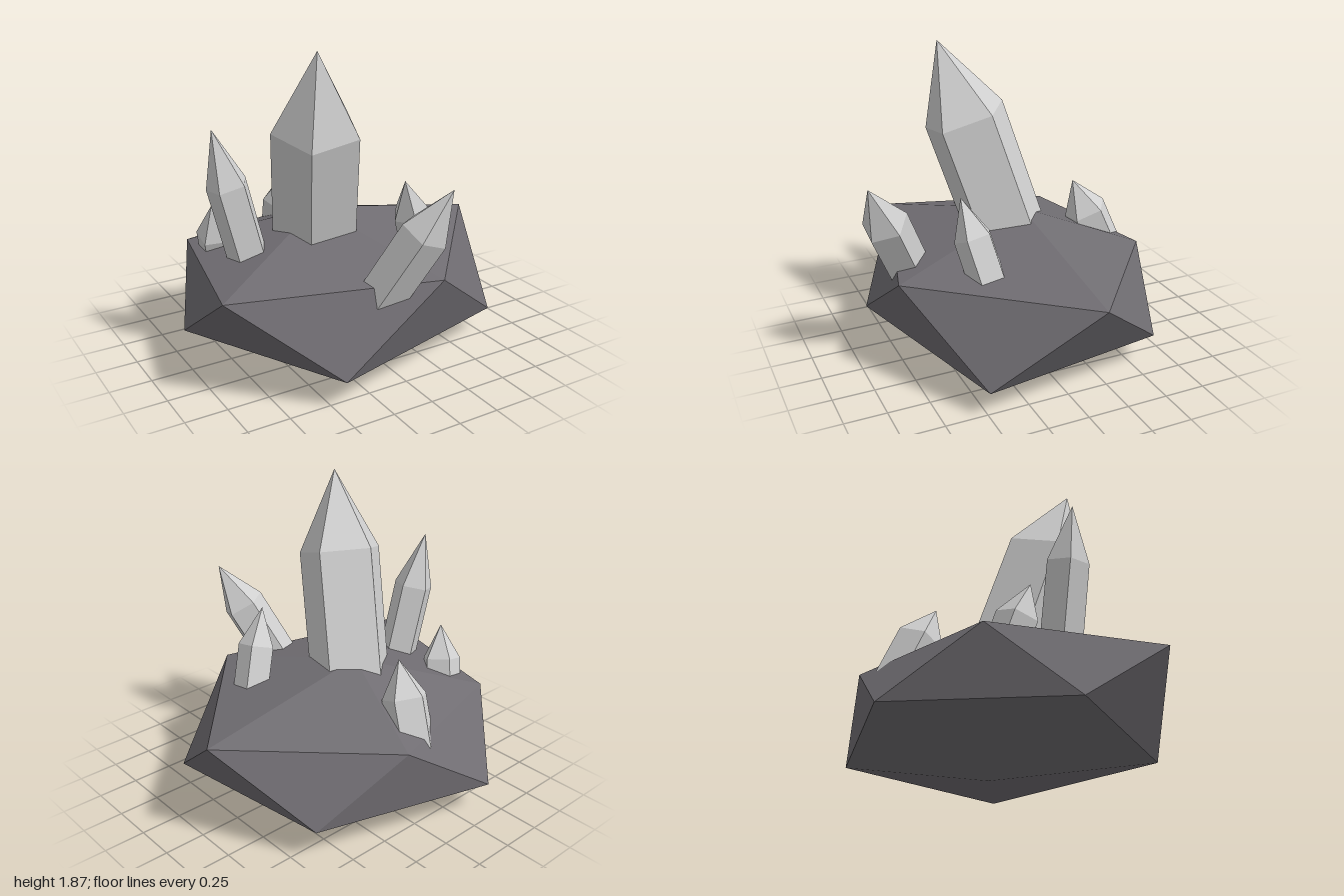
import * as THREE from 'three';

const rockMat = new THREE.MeshStandardMaterial({ color: 0x706d72 });
rockMat.name = 'dark rock';
const crystalMat = new THREE.MeshStandardMaterial({ color: 0xd0d0d0 });
crystalMat.name = 'pale crystal';

// Squashed, irregular icosahedron: two poles and two staggered rings of five
function rockGeometry() {
  const top = [-0.11, 0.82, -0.1];
  const bottom = [-0.11, 0, -0.1];
  const upper = [[1, 0.63, -0.1], [0.2, 0.61, 0.81], [-1, 0.62, 0.49], [-0.78, 0.585, -0.55], [0.13, 0.56, -0.8]];
  const lower = [[0.79, 0.16, 0.5], [-0.45, 0.17, 0.84], [-1, 0.21, -0.1], [-0.42, 0.19, -0.95], [0.66, 0.19, -0.62]];
  const pos = [];
  for (let i = 0; i < 5; i++) {
    const j = (i + 1) % 5;
    pos.push(...top, ...upper[j], ...upper[i]);
    pos.push(...upper[i], ...upper[j], ...lower[i]);
    pos.push(...upper[j], ...lower[j], ...lower[i]);
    pos.push(...bottom, ...lower[i], ...lower[j]);
  }
  const geo = new THREE.BufferGeometry();
  geo.setAttribute('position', new THREE.Float32BufferAttribute(pos, 3));
  geo.computeVertexNormals();
  return geo;
}

// Five-sided prism with a pointed tip; one shoulder corner points along `corner`
function crystal({ name, tip, shoulder, radius, length, corner }) {
  const centre = new THREE.Vector3(...shoulder);
  const axis = new THREE.Vector3(...tip).sub(centre);
  const height = axis.length();
  axis.normalize();
  const profile = [[0, -length], [radius, -length], [radius, 0], [0, height]];
  const geo = new THREE.LatheGeometry(profile.map(([x, y]) => new THREE.Vector2(x, y)), 5).toNonIndexed();
  geo.computeVertexNormals();

  const zAxis = new THREE.Vector3(corner[0], 0, corner[1]);
  zAxis.addScaledVector(axis, -zAxis.dot(axis)).normalize();
  const xAxis = new THREE.Vector3().crossVectors(axis, zAxis);
  geo.applyMatrix4(new THREE.Matrix4().makeBasis(xAxis, axis, zAxis).setPosition(centre));

  const mesh = new THREE.Mesh(geo, crystalMat);
  mesh.name = name;
  return mesh;
}

const CRYSTALS = [
  { name: 'mainCrystal', tip: [-0.34, 1.87, 0.345], shoulder: [-0.27, 1.405, 0.205], radius: 0.262, length: 0.9, corner: [0, -1] },
  { name: 'tallLeftCrystal', tip: [-0.82, 1.43, 0.01], shoulder: [-0.74, 1.1, 0.02], radius: 0.124, length: 0.55, corner: [0.02, -0.12] },
  { name: 'frontCrystal', tip: [0.14, 1.19, 0.94], shoulder: [0.04, 0.93, 0.825], radius: 0.14, length: 0.6, corner: [0.13, -0.03] },
  { name: 'rightCrystal', tip: [0.19, 1.08, 0.42], shoulder: [0.27, 0.86, 0.375], radius: 0.117, length: 0.32, corner: [-1, 0] },
  { name: 'backCrystal', tip: [-0.12, 0.945, -0.46], shoulder: [-0.095, 0.74, -0.545], radius: 0.14, length: 0.3, corner: [0, -1] },
  { name: 'backLeftCrystal', tip: [-0.74, 0.9, -0.23], shoulder: [-0.695, 0.7, -0.285], radius: 0.122, length: 0.28, corner: [0.05, -0.12] },
];

export function createModel() {
  const model = new THREE.Group();
  model.name = 'crystalCluster';
  const rock = new THREE.Mesh(rockGeometry(), rockMat);
  rock.name = 'rockBase';
  model.add(rock);
  for (const spec of CRYSTALS) model.add(crystal(spec));
  return model;
}
